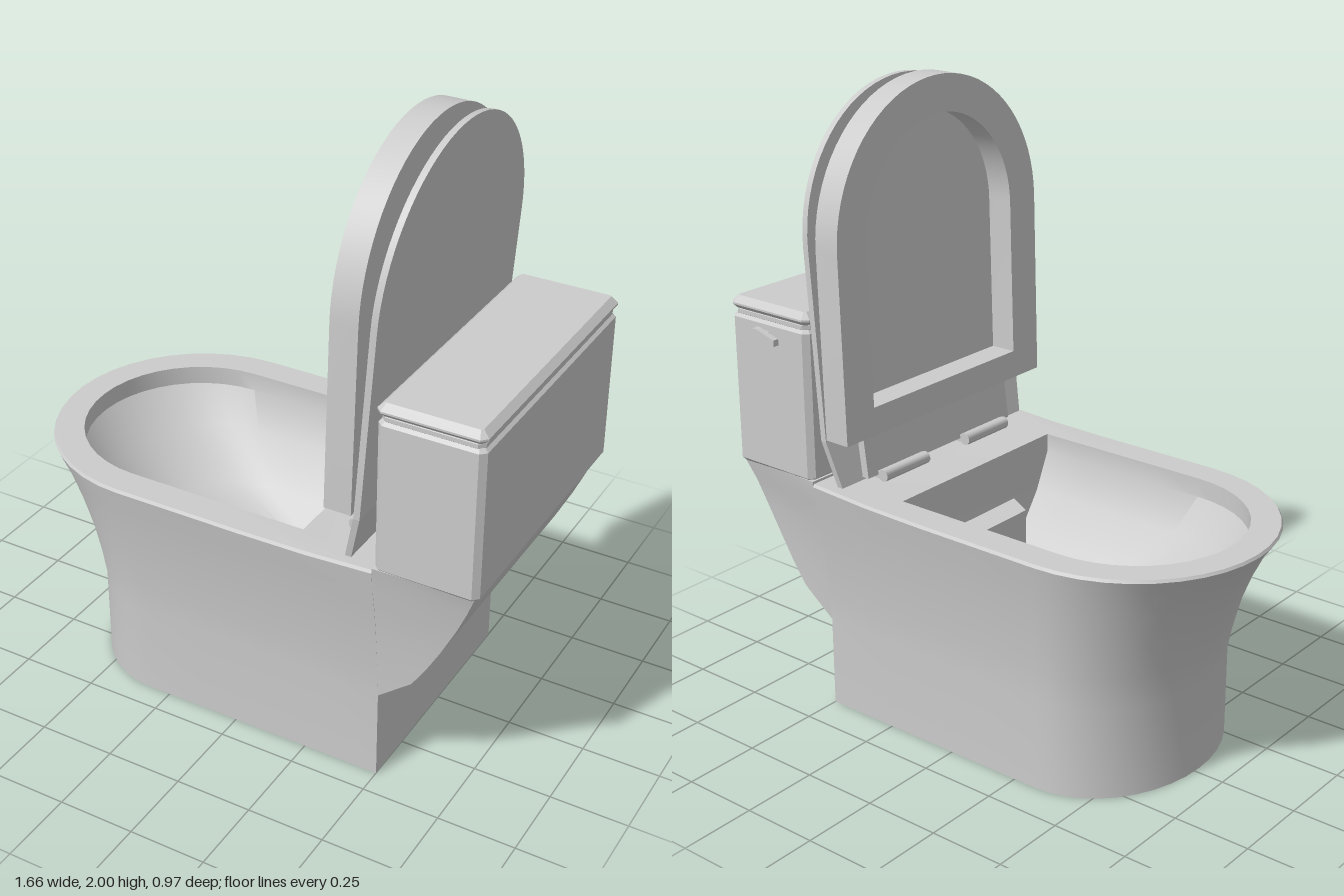
import * as THREE from 'three';
import { toCreasedNormals } from 'three/addons/utils/BufferGeometryUtils.js';

const material = new THREE.MeshStandardMaterial({ color: 0xcccccc, side: THREE.DoubleSide });

function addMesh(parent, name, geometry, crease = 0.5) {
  const mesh = new THREE.Mesh(toCreasedNormals(geometry, crease), material);
  mesh.name = name;
  parent.add(mesh);
  return mesh;
}

// Horizontal D-shaped ring: round toward -x, straight across the back
function dRing(front, back, halfWidth, centre, y, lift = 0) {
  const ring = [];
  const push = (x, z) => ring.push(new THREE.Vector3(x, y + lift * Math.max(0, (x - 0.22) / 0.28), z));
  const sideSteps = 4, arcSteps = 20;
  for (let i = 0; i < sideSteps; i++) push(THREE.MathUtils.lerp(back, centre, i / sideSteps), halfWidth);
  for (let i = 0; i <= arcSteps; i++) {
    const a = (i / arcSteps) * Math.PI;
    push(centre - Math.sin(a) * (centre - front), Math.cos(a) * halfWidth);
  }
  for (let i = sideSteps - 1; i >= 0; i--) push(THREE.MathUtils.lerp(back, centre, i / sideSteps), -halfWidth);
  return ring;
}

// Skin a stack of equal-length rings and close both ends
function loft(rings) {
  const n = rings[0].length, points = rings.flat(), index = [];
  for (let r = 0; r < rings.length - 1; r++) {
    for (let j = 0; j < n; j++) {
      const a = r * n + j, b = r * n + (j + 1) % n;
      index.push(a, a + n, b + n, a, b + n, b);
    }
  }
  [0, rings.length - 1].forEach((r) => {
    const centre = new THREE.Vector3();
    rings[r].forEach((p) => centre.addScaledVector(p, 1 / n));
    const c = points.push(centre) - 1;
    for (let j = 0; j < n; j++) {
      const a = r * n + j, b = r * n + (j + 1) % n;
      if (r === 0) index.push(c, a, b);
      else index.push(c, b, a);
    }
  });
  const geometry = new THREE.BufferGeometry().setFromPoints(points);
  geometry.setIndex(index);
  geometry.computeVertexNormals();
  return geometry;
}

// Upright arch outline
function arch(path, halfWidth, bottom, centre, top) {
  path.moveTo(-halfWidth, bottom);
  path.lineTo(halfWidth, bottom);
  path.lineTo(halfWidth, centre);
  path.absellipse(0, centre, halfWidth, top - centre, 0, Math.PI, false);
  path.closePath();
  return path;
}

// Upright slab facing -x, leaning back by slope from height y0
function slab(shape, x, depth, slope, y0) {
  const geometry = new THREE.ExtrudeGeometry(shape, { depth, bevelEnabled: false, curveSegments: 18 });
  geometry.rotateY(Math.PI / 2);
  const p = geometry.attributes.position;
  for (let i = 0; i < p.count; i++) p.setX(i, p.getX(i) + x + slope * (p.getY(i) - y0));
  geometry.computeVertexNormals();
  return geometry;
}

function strip(halfWidth, bottom, top, topHalfWidth = halfWidth) {
  return new THREE.Shape([
    new THREE.Vector2(-halfWidth, bottom), new THREE.Vector2(halfWidth, bottom),
    new THREE.Vector2(topHalfWidth, top), new THREE.Vector2(-topHalfWidth, top),
  ]);
}

// Box with chamfered edges, standing on y
function chamferBox(x0, x1, y0, y1, halfWidth, c, bevel) {
  const corners = [
    [x0 + c, -halfWidth], [x1 - c, -halfWidth], [x1, -halfWidth + c], [x1, halfWidth - c],
    [x1 - c, halfWidth], [x0 + c, halfWidth], [x0, halfWidth - c], [x0, -halfWidth + c],
  ].map(([x, z]) => new THREE.Vector2(x, z));
  const geometry = new THREE.ExtrudeGeometry(new THREE.Shape(corners), {
    depth: y1 - y0 - 2 * bevel, bevelThickness: bevel, bevelSize: bevel, bevelOffset: -bevel, bevelSegments: 1,
  });
  geometry.rotateX(-Math.PI / 2);
  return geometry.translate(0, y0 + bevel, 0);
}

export function createModel() {
  const model = new THREE.Group();
  model.name = 'toilet';
  const body = new THREE.Group();
  body.name = 'body';
  body.position.z = 0.02;
  model.add(body);

  // Pedestal, rim and hollow basin as one skin
  addMesh(body, 'bowl', loft([
    dRing(-0.65, 0.5, 0.398, -0.33, 0),
    dRing(-0.65, 0.5, 0.398, -0.33, 0.3),
    dRing(-0.67, 0.5, 0.405, -0.335, 0.4),
    dRing(-0.70, 0.5, 0.417, -0.34, 0.51),
    dRing(-0.745, 0.5, 0.432, -0.35, 0.62),
    dRing(-0.785, 0.5, 0.446, -0.36, 0.7),
    dRing(-0.83, 0.5, 0.458, -0.37, 0.763, 0.015),
    dRing(-0.825, 0.5, 0.452, -0.37, 0.772, 0.015),
    dRing(-0.735, 0.22, 0.355, -0.38, 0.772),
    dRing(-0.735, 0.22, 0.355, -0.38, 0.71),
    dRing(-0.64, 0.22, 0.3, -0.33, 0.59),
    dRing(-0.45, 0.215, 0.2, -0.2, 0.46),
    dRing(-0.1, 0.2, 0.08, 0.02, 0.36),
  ]), 0.45);

  // Ledge at the back of the basin
  const ledge = (y) => [[0.23, 0.185], [0.13, 0.13], [0.13, -0.13], [0.23, -0.185]]
    .map(([x, z]) => new THREE.Vector3(x, y, z));
  addMesh(body, 'basinLedge', loft([ledge(0.4), ledge(0.6)]));

  // Flared bracket carrying the tank: height, back x, back and front half widths
  const bracket = [
    [0.3, 0.5, 0.398, 0.398], [0.39, 0.61, 0.402, 0.404], [0.46, 0.655, 0.405, 0.411],
    [0.54, 0.70, 0.408, 0.42], [0.64, 0.75, 0.415, 0.434], [0.72, 0.785, 0.425, 0.449],
    [0.795, 0.815, 0.445, 0.458],
  ].map(([y, x, back, front]) => [[x, back], [0.5, front], [0.5, -front], [x, -back]]
    .map(([px, pz]) => new THREE.Vector3(px, y, pz)));
  addMesh(body, 'tankBracket', loft(bracket));

  // Tank and its cover
  addMesh(body, 'tank', chamferBox(0.503, 0.828, 0.785, 1.285, 0.458, 0.018, 0.015), 0.3);
  addMesh(body, 'tankSeam', chamferBox(0.51, 0.82, 1.28, 1.295, 0.45, 0.018, 0.001), 0.3);
  addMesh(body, 'tankCover', chamferBox(0.5, 0.83, 1.289, 1.335, 0.46, 0.018, 0.02), 0.3);

  // Raised seat ring with its hinge flap
  const seat = arch(new THREE.Shape(), 0.458, 0.95, 1.54, 2.0);
  seat.holes.push(arch(new THREE.Path(), 0.335, 1.04, 1.54, 1.885));
  addMesh(body, 'seatRing', slab(seat, 0.345, 0.087, 0.024, 0.95));
  addMesh(body, 'seatFlap', slab(strip(0.34, 0.8, 0.98), 0.375, 0.025, 0.13, 0.8));

  // Raised lid, kinked toward the hinge
  const lid = arch(new THREE.Shape(), 0.455, 0.94, 1.54, 1.99);
  addMesh(body, 'lid', slab(lid, 0.438, 0.02, 0.07, 0.94));
  addMesh(body, 'lidFlap', slab(strip(0.43, 0.79, 0.94, 0.455), 0.4, 0.02, 0.25, 0.79));

  // Hinge barrels
  for (const side of [-1, 1]) {
    const barrel = new THREE.CylinderGeometry(0.02, 0.02, 0.2, 10).rotateX(Math.PI / 2);
    addMesh(body, 'hingeBarrel', barrel, 0.7).position.set(0.357, 0.8, side * 0.195);
    const block = new THREE.BoxGeometry(0.05, 0.025, 0.2);
    addMesh(body, 'hingeBlock', block).position.set(0.385, 0.8, side * 0.195);
  }

  // Flush lever: stem and teardrop handle
  const handle = new THREE.Group();
  handle.name = 'flushLever';
  handle.position.set(0.668, 1.24, -0.46);
  body.add(handle);
  addMesh(handle, 'leverStem', new THREE.CylinderGeometry(0.012, 0.012, 0.045, 12).rotateX(Math.PI / 2), 0.7)
    .position.z = -0.015;
  const drop = new THREE.Shape();
  drop.absarc(0, 0, 0.032, -2.0, 2.0, false);
  drop.lineTo(-0.08, 0.01);
  drop.lineTo(-0.08, -0.01);
  drop.closePath();
  addMesh(handle, 'leverHandle', new THREE.ExtrudeGeometry(drop, { depth: 0.02, bevelEnabled: false, curveSegments: 8 }))
    .position.z = -0.05;

  return model;
}
